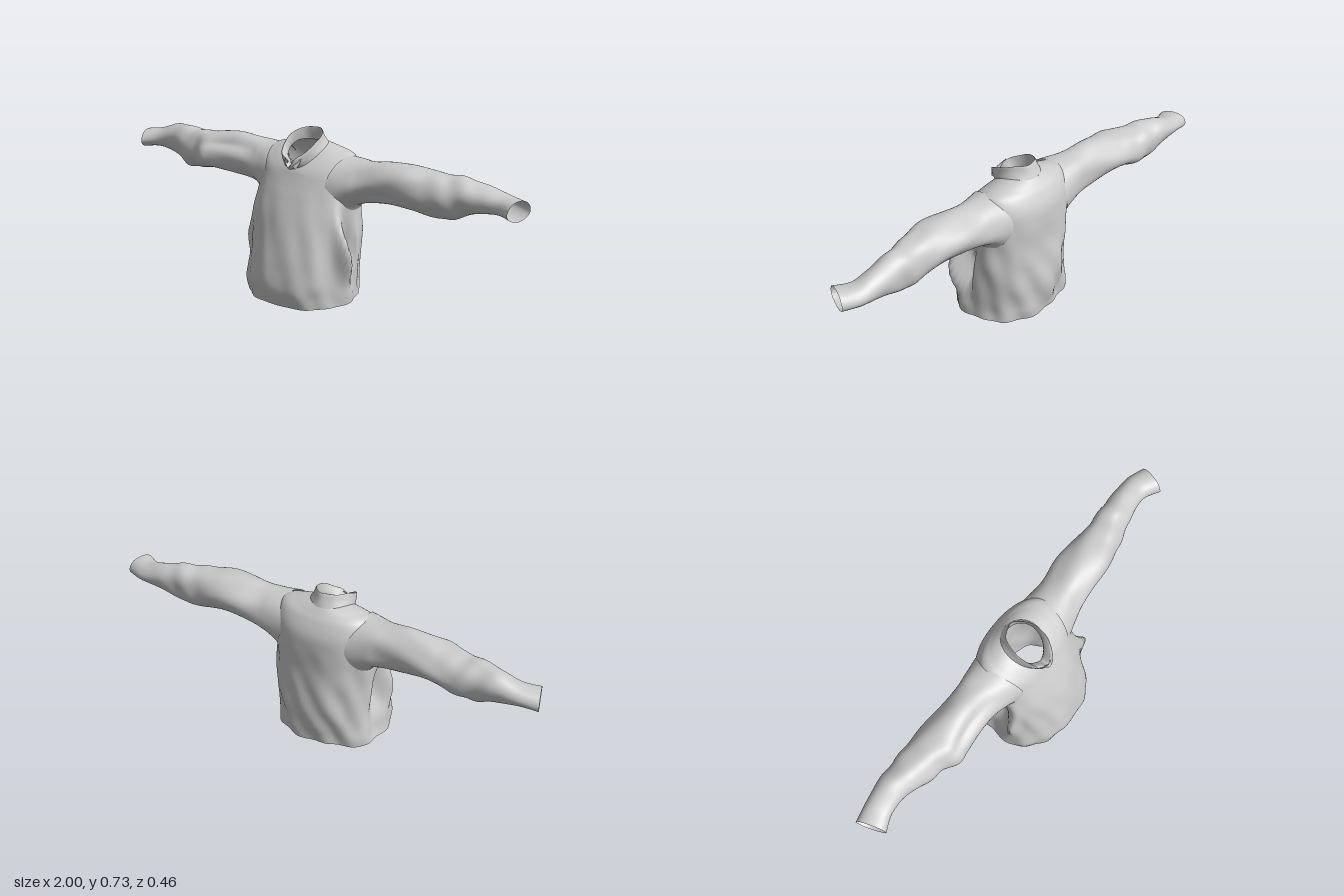
import * as THREE from 'three';

const cloth = new THREE.MeshStandardMaterial({ color: 0xcccccc, side: THREE.DoubleSide });
const { sin, cos, abs, sign, pow, exp, min, max, PI } = Math;
const bump = (v, centre, width) => exp(-(((v - centre) / width) ** 2));

// Smooth interpolation through a table of sections, t in 0..1
function sample(rows, t) {
  const f = min(t, 0.99999) * (rows.length - 1), i = Math.floor(f), u = f - i;
  const at = k => rows[max(0, min(rows.length - 1, k))];
  const [a, b, c, d] = [at(i - 1), at(i), at(i + 1), at(i + 2)];
  return b.map((p, k) => p + 0.5 * u * (c[k] - a[k]
    + u * (2 * a[k] - 5 * p + 4 * c[k] - d[k] + u * (3 * (p - c[k]) + d[k] - a[k]))));
}

// Closed-ring surface; point(t, angle) gives [x, y, z], skip() leaves openings
function loft(name, steps, sides, point, { flip = false, skip = () => false } = {}) {
  const pos = [], index = [];
  for (let i = 0; i <= steps; i++) {
    for (let j = 0; j < sides; j++) pos.push(...point(i / steps, (j / sides) * 2 * PI));
  }
  for (let i = 0; i < steps; i++) {
    for (let j = 0; j < sides; j++) {
      const k = (j + 1) % sides;
      const a = i * sides + j, b = i * sides + k, c = a + sides, d = b + sides;
      if ([a, b, c, d].every(v => skip(pos[v * 3], pos[v * 3 + 1], pos[v * 3 + 2]))) continue;
      if (flip) index.push(a, b, c, b, d, c);
      else index.push(a, c, b, b, c, d);
    }
  }
  const g = new THREE.BufferGeometry();
  g.setAttribute('position', new THREE.Float32BufferAttribute(pos, 3));
  g.setIndex(index);
  g.computeVertexNormals();
  const mesh = new THREE.Mesh(g, cloth);
  mesh.name = name;
  return mesh;
}

// Body sections: ySide, yFront, yBack, half width, zFront, zBack, roundness, centre x
const BODY = [
  [0.02, 0.006, 0.022, 0.25, 0.21, -0.2, 0.85, 0],
  [0.1, 0.09, 0.1, 0.243, 0.231, -0.21, 0.85, 0],
  [0.2, 0.19, 0.2, 0.238, 0.219, -0.222, 0.87, 0.005],
  [0.3, 0.29, 0.3, 0.236, 0.195, -0.219, 0.88, 0.005],
  [0.4, 0.39, 0.4, 0.235, 0.165, -0.211, 0.87, 0],
  [0.48, 0.47, 0.5, 0.235, 0.133, -0.209, 0.86, 0],
  [0.57, 0.52, 0.57, 0.228, 0.109, -0.201, 0.86, 0],
  [0.632, 0.555, 0.625, 0.207, 0.093, -0.175, 0.88, -0.003],
  [0.652, 0.575, 0.655, 0.15, 0.085, -0.15, 0.94, -0.008],
  [0.664, 0.588, 0.675, 0.09, 0.078, -0.13, 1, -0.012],
];
// Collar: up the outside, over the edge and down the inside
const COLLAR = [
  [0.664, 0.588, 0.675, 0.09, 0.078, -0.13, 1, -0.012],
  [0.68, 0.607, 0.703, 0.082, 0.098, -0.117, 1, -0.013],
  [0.698, 0.628, 0.727, 0.077, 0.108, -0.108, 1, -0.013],
  [0.7, 0.635, 0.73, 0.073, 0.095, -0.103, 1, -0.013],
  [0.68, 0.615, 0.7, 0.073, 0.062, -0.108, 1, -0.013],
  [0.655, 0.58, 0.67, 0.078, 0.055, -0.115, 1, -0.013],
];

function section(rows, t, a) {
  const [yS, yF, yB, hw, zF, zB, e, cx] = sample(rows, t);
  const c = sign(cos(a)) * pow(abs(cos(a)), e), s = sign(sin(a)) * pow(abs(sin(a)), e);
  const y = yS + s * (yF - yB) / 2 + s * s * ((yF + yB) / 2 - yS);
  return [cx + hw * c, y, (zF + zB) / 2 + s * (zF - zB) / 2];
}

// Body with hanging folds, pleated sides and draped back
function bodyPoint(t, a) {
  const [x, y, z] = section(BODY, t, a);
  const low = max(0, min(1, (0.55 - y) / 0.25)), front = sin(a);
  const right = cos(a) < 0, edge = right ? PI - a : a;
  // Front panel edge juts over a hollow behind it
  const sway = 0.2 + 1.2 * (y - 0.25);
  const pleat = bump(y, 0.25, 0.13);
  let r = pleat * ((right ? 0.035 : 0.07) * bump(edge, sway + 0.1, 0.13)
    - 0.05 * bump(edge, sway - 0.2, 0.16));
  r += low * 0.004 * sin(7 * a + 9 * y) + low * 0.003 * sin(13 * a - 17 * y);
  if (front < 0) {
    r += -front * low * (0.008 * sin(26 * (x * 0.8 + y * 0.35)) + 0.004 * sin(48 * (x - y * 0.6)));
  }
  r += 0.006 * bump(y, 0.06, 0.04) * sin(5 * a + 1);
  return [x + r * cos(a), y, z + r * sin(a) * 0.8];
}

// Sleeve sections: distance out, yTop, yBottom, zFront, zBack
const LEFT_SLEEVE = [
  [0.185, 0.645, 0.4, 0.08, -0.18], [0.25, 0.64, 0.44, 0.055, -0.168],
  [0.31, 0.638, 0.463, 0.045, -0.163], [0.4, 0.65, 0.475, 0.043, -0.168],
  [0.5, 0.655, 0.47, 0.04, -0.162], [0.6, 0.645, 0.455, 0.015, -0.155],
  [0.68, 0.642, 0.452, -0.005, -0.158], [0.75, 0.632, 0.48, -0.022, -0.16],
  [0.84, 0.61, 0.5, -0.038, -0.16], [0.91, 0.592, 0.506, -0.038, -0.155],
  [0.98, 0.59, 0.503, -0.002, -0.128],
];
const RIGHT_SLEEVE = [
  [0.185, 0.648, 0.4, 0.08, -0.18], [0.25, 0.648, 0.437, 0.05, -0.168],
  [0.31, 0.65, 0.457, 0.036, -0.158], [0.4, 0.655, 0.467, 0.04, -0.157],
  [0.5, 0.645, 0.475, 0.05, -0.165], [0.56, 0.637, 0.47, 0.052, -0.168],
  [0.63, 0.632, 0.455, 0.012, -0.17], [0.71, 0.632, 0.452, -0.002, -0.167],
  [0.8, 0.63, 0.487, -0.033, -0.163], [0.9, 0.595, 0.506, -0.036, -0.15],
  [0.98, 0.582, 0.5, -0.008, -0.135],
];

function sleeve(name, rows, side) {
  return loft(name, 80, 48, (t, a) => {
    const [x, yT, yB, zF, zB] = sample(rows, t);
    // Long diagonal creases, calm at armhole and cuff, with an elbow gather
    const calm = min(1, t / 0.15) * (1 - 0.65 * t);
    const fold = calm * (0.045 * sin(3 * a + 9 * x + side) + 0.03 * sin(5 * a - 16 * x))
      + 0.04 * bump(x, 0.7, 0.1) * sin(50 * x + 2 * a);
    // Front hollow: high on the right sleeve, low on the left
    const hollow = side < 0 ? 0.22 * bump(x, 0.46, 0.12) * bump(a, 0.7, 0.35)
      : 0.15 * bump(x, 0.4, 0.12) * bump(a, 2 * PI - 0.6, 0.35);
    const k = 0.99 + fold - hollow;
    // Root flares and wraps onto the body around the armhole
    const root = max(0, 1 - t / 0.1) * (0.042 * max(0, -sin(a)) - 0.03 * cos(a) ** 2);
    const slant = 0.02 * t * t * cos(a);
    return [side * (x + root - slant), (yT + yB) / 2 + k * (yT - yB) / 2 * sin(a),
      (zF + zB) / 2 + k * (zF - zB) / 2 * cos(a)];
  }, { flip: side < 0 });
}

// Small folded collar point beside the neck opening
function collarPoint(side) {
  const shape = new THREE.Shape();
  shape.moveTo(0.004, 0.012);
  shape.lineTo(0.05, 0.035);
  shape.quadraticCurveTo(0.052, 0.005, 0.03, -0.02);
  shape.lineTo(0.004, 0.012);
  const g = new THREE.ExtrudeGeometry(shape, { depth: 0.003, bevelEnabled: false });
  const mesh = new THREE.Mesh(g, cloth);
  mesh.name = side > 0 ? 'leftCollarPoint' : 'rightCollarPoint';
  mesh.position.set(-0.012, 0.612, 0.104);
  mesh.rotation.set(-0.2 * side, side > 0 ? 0.4 : PI - 0.4, 0);
  return mesh;
}

export function createModel() {
  const group = new THREE.Group();
  group.name = 'pulloverShirt';
  // Armholes open into the sleeves
  const armhole = (x, y, z) => abs(x) > 0.15 && ((y - 0.535) / 0.092) ** 2 + ((z + 0.053) / 0.1) ** 2 < 1;
  group.add(loft('body', 80, 112, bodyPoint, { skip: armhole }));
  // Collar dips in a notch at the front
  group.add(loft('collar', 20, 64, (t, a) => {
    const [x, y, z] = section(COLLAR, t, a);
    return [x, y - 0.035 * bump(a, PI / 2, 0.25) * sin(PI * t), z + 0.003 * sin(6 * a) * sin(PI * t)];
  }));
  group.add(sleeve('leftSleeve', LEFT_SLEEVE, 1), sleeve('rightSleeve', RIGHT_SLEEVE, -1));
  group.add(collarPoint(1), collarPoint(-1));
  return group;
}
